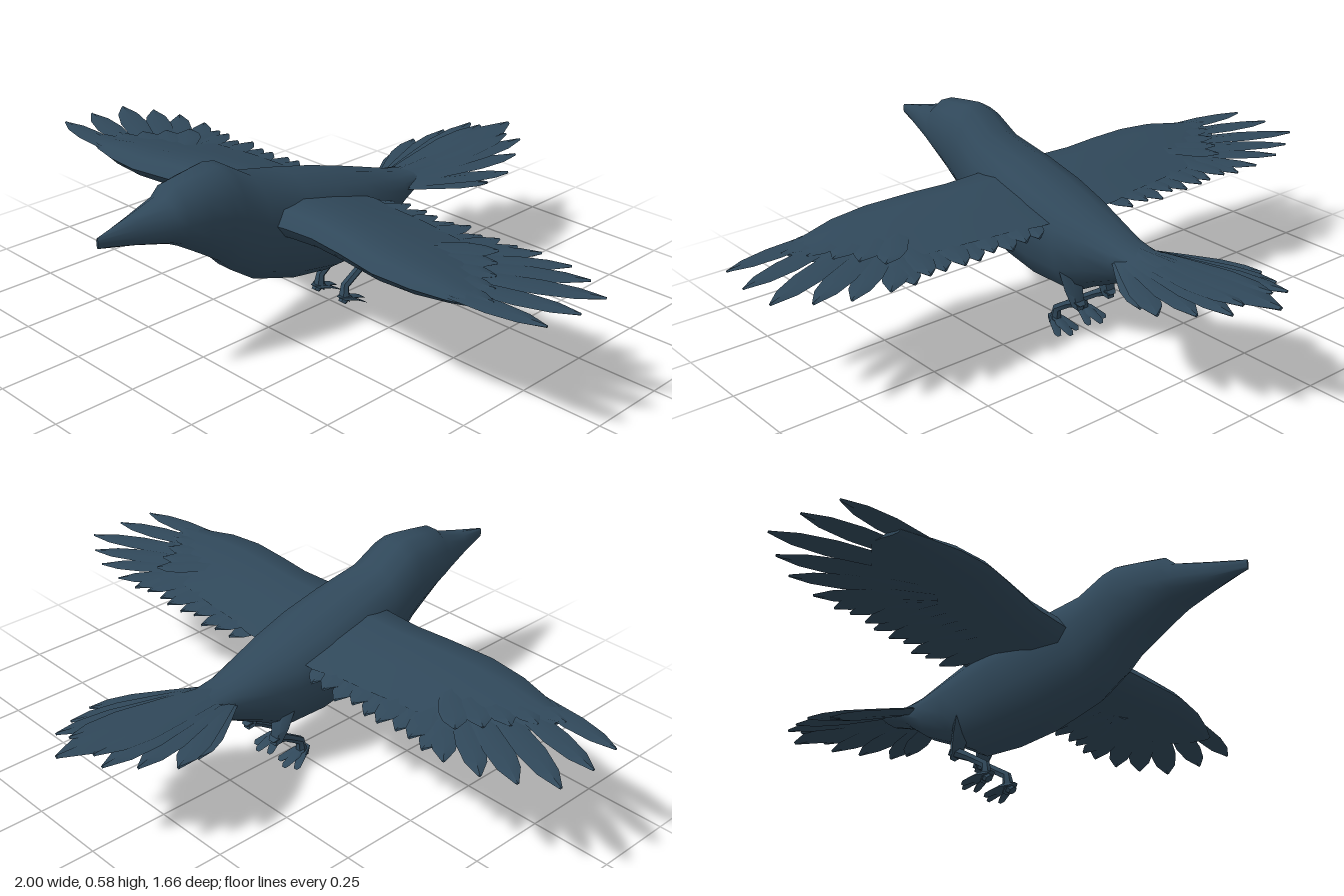
import * as THREE from 'three';
import { toCreasedNormals } from 'three/addons/utils/BufferGeometryUtils.js';

const plumage = new THREE.MeshStandardMaterial({ color: 0x30485a });
plumage.name = 'slate plumage';

// Closed skin over a list of rings; faces are turned outward by signed volume.
function loft(rings, crease = 0.9) {
  const n = rings[0].length, pts = rings.flat(), tris = [];
  for (let i = 0; i < rings.length - 1; i++)
    for (let j = 0; j < n; j++) {
      const a = i * n + j, b = i * n + (j + 1) % n;
      tris.push([a, b, a + n], [b, b + n, a + n]);
    }
  const last = (rings.length - 1) * n;
  for (let j = 1; j < n - 1; j++) tris.push([0, j + 1, j], [last, last + j, last + j + 1]);
  const v = pts.map(p => new THREE.Vector3(...p));
  const volume = tris.reduce((s, [a, b, c]) => s + v[a].dot(v[b].clone().cross(v[c])), 0);
  const geo = new THREE.BufferGeometry();
  geo.setAttribute('position', new THREE.Float32BufferAttribute(pts.flat(), 3));
  geo.setIndex(tris.flatMap(([a, b, c]) => (volume < 0 ? [a, c, b] : [a, b, c])));
  return toCreasedNormals(geo, crease);
}

function part(name, geo, parent) {
  const mesh = new THREE.Mesh(geo, plumage);
  mesh.name = name;
  parent.add(mesh);
  return mesh;
}

// Thin blade with a diamond section that widens, then narrows to its tip.
function feather(base, tip, width, thick) {
  const dx = tip[0] - base[0], dz = tip[2] - base[2], len = Math.hypot(dx, dz);
  const sx = -dz / len, sz = dx / len;
  return loft([[0, 0.6], [0.35, 0.85], [0.65, 1], [0.85, 0.75], [1, 0.12]].map(([t, k]) => {
    const c = base.map((b, i) => b + (tip[i] - b) * t), w = width * k / 2, h = thick * (1 - 0.6 * t) / 2;
    return [[c[0] + sx * w, c[1], c[2] + sz * w], [c[0], c[1] + h, c[2]],
      [c[0] - sx * w, c[1], c[2] - sz * w], [c[0], c[1] - h, c[2]]];
  }), 0.6);
}

// Limb following points [x, y, z, radius]
function limb(path, s) {
  return loft(path.map(([x, y, z, r]) => Array.from({ length: 6 }, (_, i) => {
    const a = i / 6 * Math.PI * 2;
    return [s * (x + Math.cos(a) * r), y + Math.sin(a) * r * 0.6, z + Math.sin(a) * r * 0.8];
  })));
}

function bodyGeometry() {
  // z, top, bottom, half width, height of the widest point
  const sections = [
    [0.83, 0.485, 0.455, 0.004, 0.47], [0.72, 0.512, 0.432, 0.038, 0.465],
    [0.62, 0.538, 0.405, 0.07, 0.465], [0.59, 0.567, 0.39, 0.079, 0.465],
    [0.52, 0.577, 0.345, 0.092, 0.465], [0.45, 0.586, 0.297, 0.102, 0.455],
    [0.41, 0.575, 0.255, 0.105, 0.44], [0.33, 0.525, 0.2, 0.113, 0.4],
    [0.18, 0.49, 0.153, 0.133, 0.36], [0.05, 0.457, 0.134, 0.137, 0.33],
    [-0.07, 0.422, 0.133, 0.122, 0.31], [-0.15, 0.397, 0.178, 0.1, 0.31],
    [-0.26, 0.362, 0.23, 0.07, 0.31], [-0.34, 0.345, 0.29, 0.058, 0.32],
    [-0.42, 0.345, 0.315, 0.05, 0.33]];
  return loft(sections.map(([z, top, bottom, w, mid]) => Array.from({ length: 14 }, (_, i) => {
    const a = i / 14 * Math.PI * 2, c = Math.cos(a), s = Math.sin(a);
    return [Math.sign(c) * Math.abs(c) ** 0.9 * w, mid + s * (s > 0 ? top - mid : mid - bottom), z];
  })));
}

function wing(s) {
  const group = new THREE.Group();
  group.name = s > 0 ? 'leftWing' : 'rightWing';
  // Arm: x, leading z, trailing z, middle height, thickness
  const arm = [[0.04, 0.32, -0.04, 0.385, 0.1], [0.14, 0.31, -0.05, 0.39, 0.098],
    [0.24, 0.305, -0.03, 0.392, 0.09], [0.36, 0.32, -0.02, 0.393, 0.084],
    [0.5, 0.34, 0.0, 0.39, 0.072], [0.62, 0.33, 0.04, 0.387, 0.06],
    [0.72, 0.305, 0.11, 0.383, 0.034], [0.8, 0.275, 0.18, 0.382, 0.015]];
  const profile = [[0, 0], [0.08, 0.42], [0.3, 0.5], [0.65, 0.2], [1, -0.18], [0.65, -0.2], [0.3, -0.45], [0.08, -0.4]];
  part('wingArm', loft(arm.map(([x, lead, trail, y, h]) =>
    profile.map(([u, k]) => [s * x, y + k * h, lead + (trail - lead) * u]))), group);

  // Long outer feathers fan around the wing tip: base x, z, tip x, z, width
  const outer = [[0.55, 0.29, 0.985, 0.24, 0.075], [0.56, 0.25, 1.0, 0.125, 0.08],
    [0.55, 0.21, 0.99, 0.005, 0.085], [0.52, 0.18, 0.9, -0.055, 0.085],
    [0.5, 0.16, 0.81, -0.095, 0.08], [0.48, 0.14, 0.7, -0.11, 0.08]];
  outer.forEach(([bx, bz, tx, tz, w], i) =>
    part('outerFeather', feather([s * bx, 0.39 - i * 0.003, bz], [s * tx, 0.386 - i * 0.004, tz], w, 0.018), group));

  // Shorter feathers along the trailing edge
  for (let i = 0; i < 9; i++) {
    const x = 0.62 - i * 0.055;
    part('innerFeather', feather([s * (x - 0.06), 0.385, 0.13],
      [s * x, 0.36 + (i % 2) * 0.006, -0.105 + (i % 3) * 0.008], 0.08, 0.02), group);
  }
  // Overlapping covert row between the arm and the outer feathers
  for (let i = 0; i < 5; i++)
    part('covertFeather', feather([s * (0.48 + i * 0.02), 0.4, 0.16 + i * 0.03],
      [s * (0.64 + i * 0.045), 0.389, 0.0 + i * 0.06], 0.085, 0.016), group);
  return group;
}

function tail() {
  const group = new THREE.Group();
  group.name = 'tail';
  part('centreTailFeather', feather([0, 0.335, -0.26], [0, 0.363, -0.835], 0.13, 0.03), group);
  // Tip x, y, z and width of each paired feather
  const pairs = [[0.055, 0.36, -0.755, 0.1], [0.105, 0.352, -0.765, 0.09],
    [0.152, 0.335, -0.685, 0.085], [0.2, 0.315, -0.59, 0.08], [0.185, 0.3, -0.51, 0.07]];
  for (const s of [1, -1])
    pairs.forEach(([x, y, z, w], i) =>
      part('tailFeather', feather([s * (0.01 + i * 0.008), 0.332 - i * 0.005, -0.27], [s * x, y, z], w, 0.022), group));
  return group;
}

function leg(s) {
  const group = new THREE.Group();
  group.name = s > 0 ? 'leftLeg' : 'rightLeg';
  part('thigh', limb([[0.06, 0.24, -0.08, 0.045], [0.062, 0.17, -0.1, 0.034], [0.06, 0.12, -0.115, 0.022]], s), group);
  part('shank', limb([[0.06, 0.135, -0.125, 0.02], [0.055, 0.105, -0.07, 0.014],
    [0.053, 0.07, -0.015, 0.014], [0.055, 0.025, -0.01, 0.02]], s), group);
  // Three toes spread over a flat foot
  for (const [x, z] of [[0.025, -0.065], [0.06, -0.08], [0.09, -0.06]])
    part('toe', limb([[0.056, 0.033, 0.005, 0.016], [(0.056 + x) / 2, 0.028, z * 0.5, 0.018],
      [x, 0.014, z, 0.013]], s), group);
  part('frontClaw', limb([[0.056, 0.04, -0.02, 0.02], [0.058, 0.02, 0.003, 0.013]], s), group);
  return group;
}

export function createModel() {
  const bird = new THREE.Group();
  bird.name = 'bird';
  part('body', bodyGeometry(), bird);
  for (const s of [1, -1]) bird.add(wing(s), leg(s));
  bird.add(tail());
  return bird;
}
